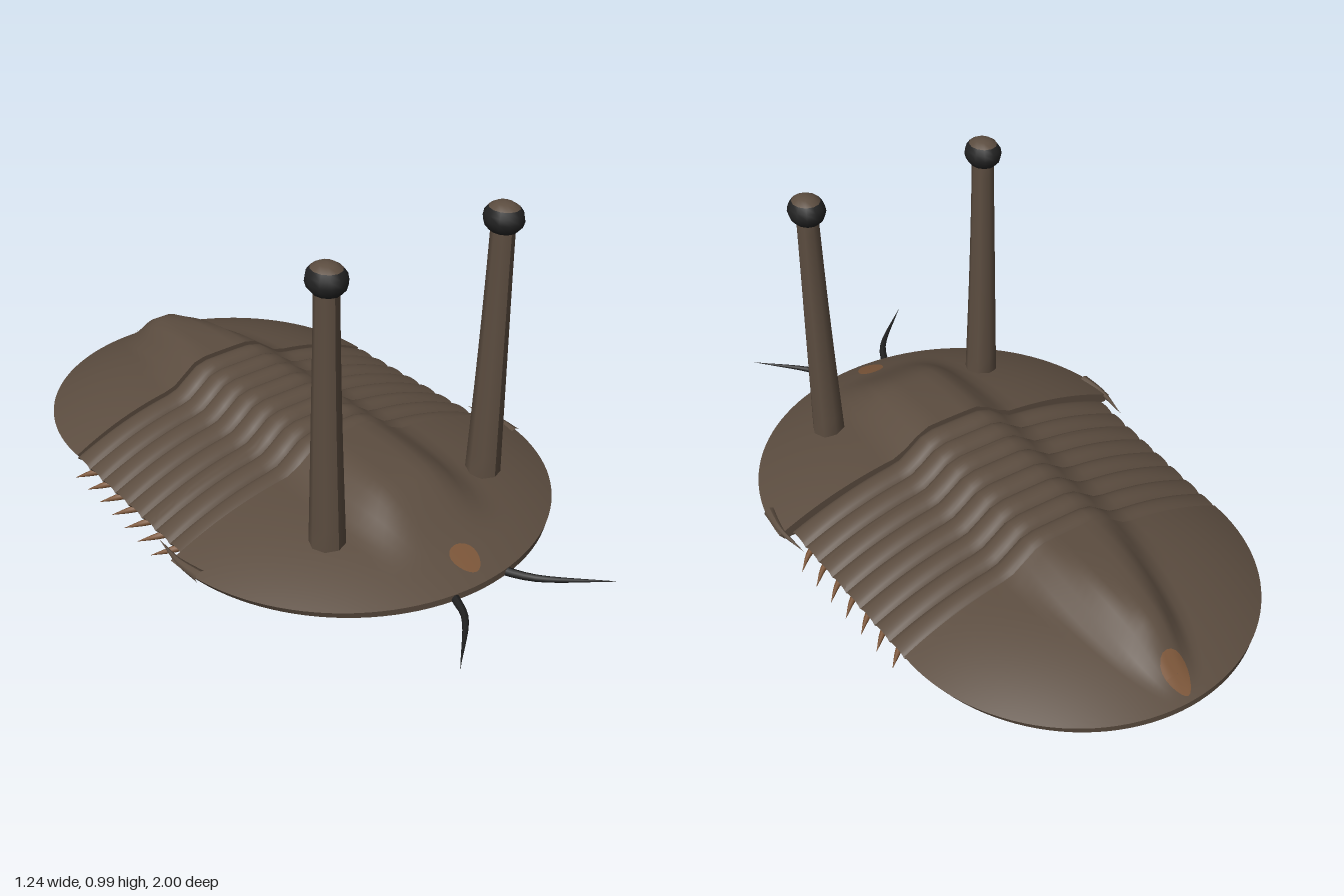
import * as THREE from 'three';
import { toCreasedNormals } from 'three/addons/utils/BufferGeometryUtils.js';

const mat = (name, color) => {
  const m = new THREE.MeshStandardMaterial({ color });
  m.name = name;
  return m;
};
const V = (x, y, z) => new THREE.Vector3(x, y, z);
const smooth = THREE.MathUtils.smoothstep;

const BASE = 0.04, RIM = 0.06, DOME = 0.12;
const HEAD = { z: 0.18, w: 0.62, l: 0.6 };
const TAIL = { z: -0.44, w: 0.557, l: 0.56 };
const SEGMENTS = 8;

// domed plate plus raised central lobe
const dome = (r) => RIM + DOME * (1 - Math.pow(Math.min(1, r), 2.5));
const lobe = (x, inner, outer) => 1 - smooth(Math.abs(x), inner, outer);

const headY = (x, z) =>
  dome(Math.hypot(x / HEAD.w, (z - HEAD.z) / HEAD.l)) +
  0.065 * lobe(x, 0.08, 0.22) * (1 - smooth(z, 0.42, 0.68));

const tailY = (x, z) => {
  const t = (TAIL.z - z) / TAIL.l;
  return dome(Math.hypot(x / TAIL.w, t)) +
    (0.065 + 0.012 * t) * lobe(x, 0.09 * (1 - t), 0.22 - 0.16 * t) * (1 - smooth(t, 0.62, 0.98));
};

const thoraxW = (z) => 0.557 + 0.02 * (z - TAIL.z) / (HEAD.z - TAIL.z);
const thoraxY = (x, z) => {
  const phase = SEGMENTS * (z - TAIL.z) / (HEAD.z - TAIL.z);
  const u = Math.abs(x) / thoraxW(z);
  const groove = 0.02 * (1 - Math.sqrt(Math.abs(Math.sin(phase * Math.PI))));
  return dome(u) + 0.065 * lobe(x, 0.09, 0.22) - groove * (1 - 0.5 * u ** 4);
};

// closed shell lofted along z from cross-sections with a flat underside
function shellPlate(zs, width, height, columns = 44) {
  const pos = [], index = [], n = columns + 1, ring = 2 * n;
  zs.forEach((z) => {
    const w = Math.max(0.004, width(z));
    for (let i = 0; i < ring; i++) {
      const top = i < n;
      const k = top ? i : ring - 1 - i;
      const x = w * Math.sin((k / columns - 0.5) * Math.PI);
      pos.push(top ? x : x * 0.975, top ? height(x, z) : BASE, z);
    }
  });
  for (let j = 0; j < zs.length - 1; j++) {
    for (let i = 0; i < ring; i++) {
      const a = j * ring + i, b = j * ring + (i + 1) % ring;
      index.push(a, a + ring, b, b, a + ring, b + ring);
    }
  }
  const last = (zs.length - 1) * ring;
  for (let i = 0; i < columns; i++) {
    const t = i, t1 = i + 1, b = ring - 1 - i, b1 = ring - 2 - i;
    index.push(last + b, last + b1, last + t, last + b1, last + t1, last + t);
    index.push(t, b1, b, t, t1, b1);
  }
  const g = new THREE.BufferGeometry();
  g.setAttribute('position', new THREE.Float32BufferAttribute(pos, 3));
  g.setIndex(index);
  return toCreasedNormals(g, 0.75);
}

// curved spike that narrows to a point
function spike(points, radius, taper = (u) => 1 - u) {
  const curve = new THREE.CatmullRomCurve3(points);
  const steps = 12, sides = 8;
  const g = new THREE.TubeGeometry(curve, steps, radius, sides);
  const p = g.attributes.position, v = V(0, 0, 0);
  for (let i = 0; i < p.count; i++) {
    const u = Math.floor(i / (sides + 1)) / steps;
    v.fromBufferAttribute(p, i).lerp(curve.getPointAt(u), 1 - Math.max(0.03, taper(u)));
    p.setXYZ(i, v.x, v.y, v.z);
  }
  g.computeVertexNormals();
  return g;
}

// thin painted spot draped over a plate
function spot(cz, outline, height) {
  const g = new THREE.CircleGeometry(1, 20);
  const rings = new THREE.RingGeometry(0.01, 1, 20, 5);
  g.dispose();
  const p = rings.attributes.position;
  for (let i = 0; i < p.count; i++) {
    const [x, dz] = outline(p.getX(i), -p.getY(i));
    p.setXYZ(i, x, height(x, cz + dz) + 0.003, cz + dz);
  }
  rings.computeVertexNormals();
  return rings;
}

export function createModel() {
  const model = new THREE.Group();
  model.name = 'trilobite';
  const shell = mat('shell brown', 0x5c4d40);
  const tan = mat('tan', 0x7c5639);
  const dark = mat('black', 0x222222);
  const add = (name, geometry, material, parent = model) => {
    const m = new THREE.Mesh(geometry, material);
    m.name = name;
    parent.add(m);
    return m;
  };
  const range = (n, f) => Array.from({ length: n + 1 }, (_, i) => f(i / n));

  // head shield, segmented thorax and tail shield
  const arc = (t) => Math.sin(t * Math.PI / 2);
  const oval = (s) => (z) => s.w * Math.sqrt(Math.max(0, 1 - ((z - s.z) / s.l) ** 2));
  add('headShield', shellPlate(range(28, (t) => HEAD.z + HEAD.l * arc(t)), oval(HEAD), headY), shell);
  add('thorax', shellPlate(range(SEGMENTS * 8, (t) => TAIL.z + (HEAD.z - TAIL.z) * t), thoraxW, thoraxY), shell);
  add('tailShield', shellPlate(range(28, (t) => TAIL.z - TAIL.l * arc(1 - t)), oval(TAIL), tailY), shell);

  // tan spots at the nose and the tail tip
  add('noseSpot', spot(0.705, (x, z) => [x * (0.042 - 0.008 * z), z * 0.045], headY), tan);
  add('tailSpot', spot(-0.935, (x, z) => [x * (0.037 + 0.012 * z), z * 0.052], tailY), tan);

  for (const s of [1, -1]) {
    const side = new THREE.Group();
    side.name = s > 0 ? 'leftSide' : 'rightSide';
    model.add(side);

    // eye stalk, slightly flared at the root
    const stalk = new THREE.CatmullRomCurve3([V(s * 0.29, 0.14, 0.46), V(s * 0.298, 0.55, 0.463), V(s * 0.303, 0.94, 0.466)]);
    add('eyeStalk', spike(stalk.points, 0.052, (u) => 0.66 + 0.34 * (1 - u) ** 1.3), shell, side);

    // eyeball with a brown lid
    const lidAngle = 0.85;
    const parts = [
      ['eyeball', lidAngle, Math.PI - lidAngle, 6, dark],
      ['eyelid', 0, lidAngle, 2, shell],
    ];
    for (const [name, start, length, rows, material] of parts) {
      const eye = add(name, new THREE.SphereGeometry(1, 12, rows, 0, Math.PI * 2, start, length), material, side);
      eye.scale.set(0.055, 0.048, 0.062);
      eye.position.set(s * 0.303, 0.947, 0.466);
    }

    // antenna
    add('antenna', spike([V(s * 0.07, 0.045, 0.7), V(s * 0.1, 0.046, 0.78), V(s * 0.135, 0.052, 0.85), V(s * 0.29, 0.06, 1)],
      0.014, (u) => 1 - u ** 1.5), dark, side);

    // cheek spine sweeping back from the head shield
    add('cheekSpine', spike([V(s * 0.596, 0.06, 0.29), V(s * 0.606, 0.062, 0.2), V(s * 0.592, 0.06, 0.08)], 0.018), shell, side);

    // legs
    for (let i = 0; i < 7; i++) {
      const z = 0.105 - i * 0.079;
      const tip = 0.612 - i * 0.005;
      add('leg', spike([V(s * 0.455, 0.029, z + 0.01), V(s * (tip - 0.06), 0.027, z), V(s * tip, 0.003, z - 0.045)],
        0.016, (u) => 1 - u ** 2), tan, side);
    }
  }
  return model;
}
